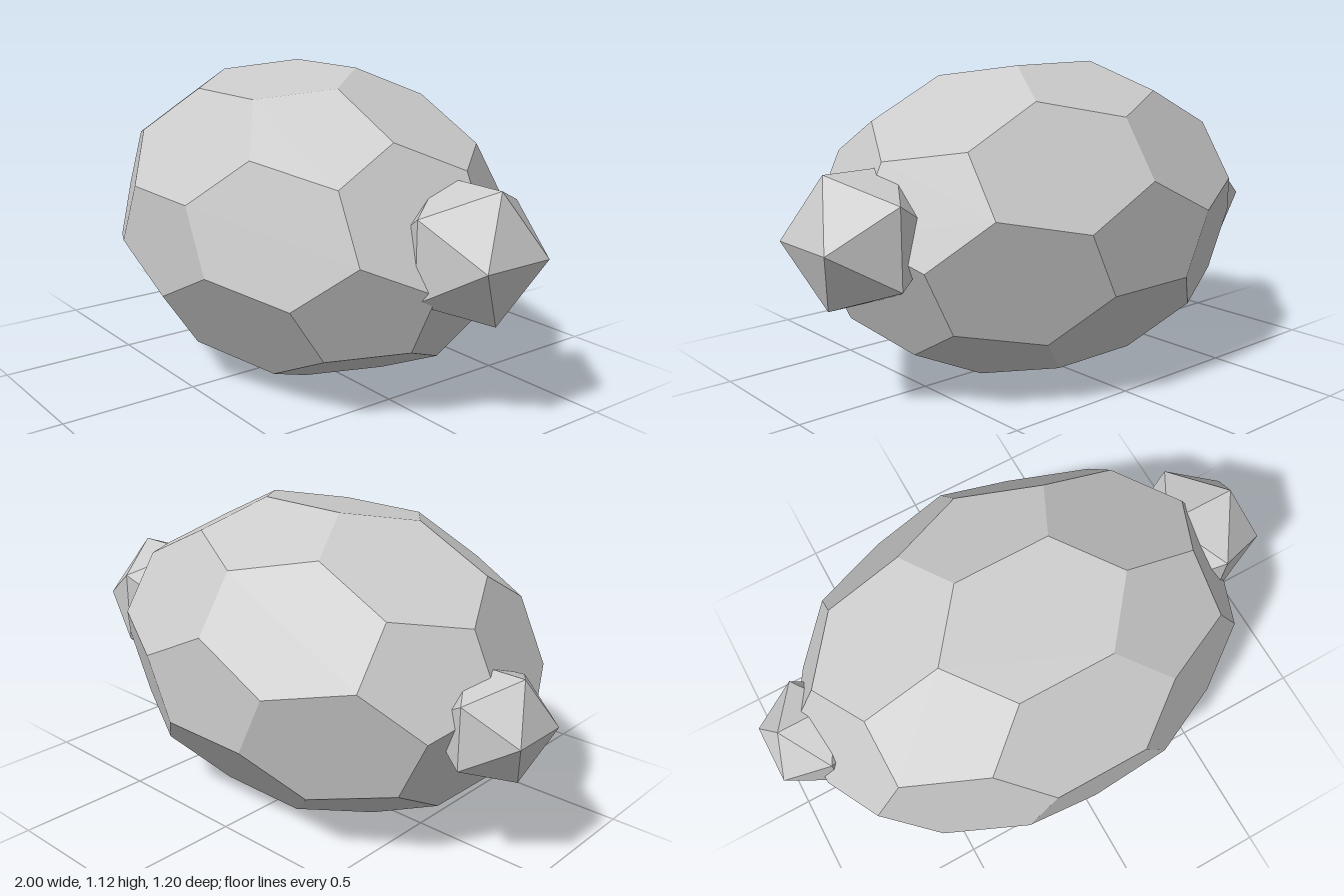
import * as THREE from 'three';
import { ConvexGeometry } from 'three/addons/geometries/ConvexGeometry.js';

const material = new THREE.MeshStandardMaterial({ color: 0xcccccc, flatShading: true });

// Corners of a unit icosahedron with its poles on the z axis
function icosahedronCorners() {
  const z = 1 / Math.sqrt(5), r = 2 / Math.sqrt(5);
  const corners = [new THREE.Vector3(0, 0, 1), new THREE.Vector3(0, 0, -1)];
  for (let i = 0; i < 5; i++) {
    const a = -Math.PI / 2 + i * Math.PI * 2 / 5;
    const p = new THREE.Vector3(r * Math.cos(a), r * Math.sin(a), z);
    corners.push(p, p.clone().negate());
  }
  return corners;
}

// Cut every corner off at a third of each edge: pentagons and hexagons
function truncatedIcosahedron(scale) {
  const corners = icosahedronCorners();
  const points = [];
  for (const a of corners) {
    for (const b of corners) {
      if (a !== b && a.distanceTo(b) < 1.2) {
        points.push(a.clone().lerp(b, 1 / 3).multiply(scale));
      }
    }
  }
  return new ConvexGeometry(points);
}

function addPart(group, name, geometry, x, y, z) {
  const mesh = new THREE.Mesh(geometry, material);
  mesh.name = name;
  mesh.position.set(x, y, z);
  group.add(mesh);
}

export function createModel() {
  const group = new THREE.Group();
  group.name = 'facetedBody';

  // Stretched body
  addPart(group, 'body', truncatedIcosahedron(new THREE.Vector3(1.0, 0.669, 0.735)), -0.016, 0.56, 0);

  // Faceted knobs at both ends, the left one larger
  addPart(group, 'leftKnob', new THREE.IcosahedronGeometry(0.2586), 0.78, 0.6, -0.07);
  addPart(group, 'rightKnob', new THREE.IcosahedronGeometry(0.2105), -0.821, 0.535, -0.075);

  return group;
}
